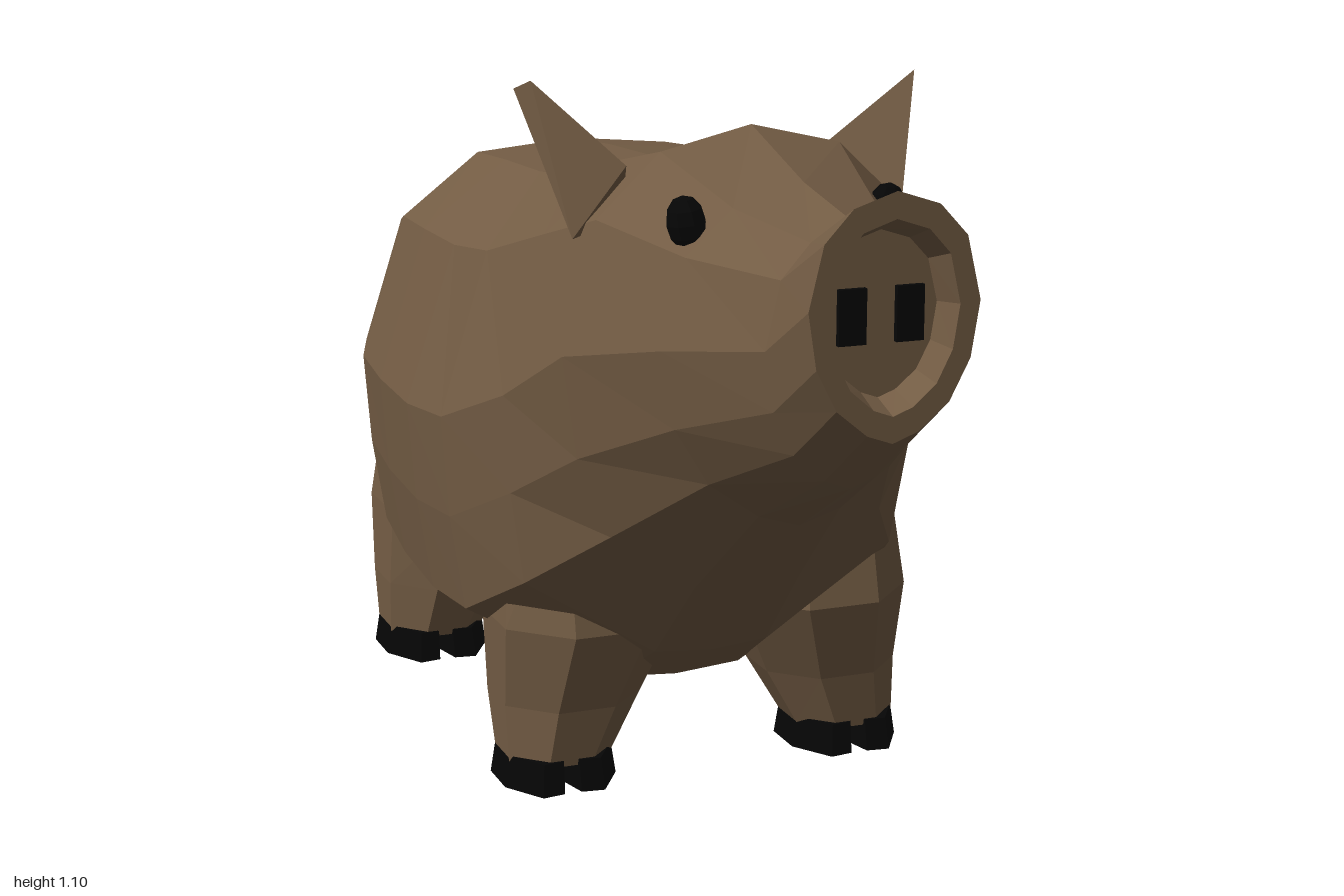
import * as THREE from 'three';
import { ConvexGeometry } from 'three/addons/geometries/ConvexGeometry.js';

const hide = new THREE.MeshStandardMaterial({ color: 0x735c44, flatShading: true });
const black = new THREE.MeshStandardMaterial({ color: 0x060606, flatShading: true });
const V = (x, y, z) => new THREE.Vector3(x, y, z);

// Skin a stack of equal-length rings (counter-clockwise about the stacking direction), with capped ends
function loft(rings) {
  const pos = [];
  const tri = (...p) => p.forEach((v) => pos.push(v.x, v.y, v.z));
  const n = rings[0].length;
  const mid = (r) => r.reduce((s, p) => s.add(p), V(0, 0, 0)).divideScalar(n);
  const first = rings[0], last = rings[rings.length - 1];
  const c0 = mid(first), c1 = mid(last);
  for (let j = 0; j < n; j++) {
    const k = (j + 1) % n;
    for (let i = 0; i < rings.length - 1; i++) {
      const a = rings[i], b = rings[i + 1];
      tri(a[j], a[k], b[k]);
      tri(a[j], b[k], b[j]);
    }
    tri(c0, first[k], first[j]);
    tri(c1, last[j], last[k]);
  }
  const g = new THREE.BufferGeometry();
  g.setAttribute('position', new THREE.Float32BufferAttribute(pos, 3));
  g.computeVertexNormals();
  return g;
}

function add(parent, name, geometry, material) {
  const m = new THREE.Mesh(geometry, material);
  m.name = name;
  parent.add(m);
  return m;
}

// Half cross-sections, top to bottom: [half-width fraction, height fraction]
const ROUND = [[0, 1], [0.5, 0.94], [0.83, 0.81], [1, 0.55], [0.9, 0.32], [0.66, 0.15], [0.3, 0.04], [0, 0]];
const BARREL = [[0, 1], [0.45, 0.98], [0.8, 0.85], [1, 0.55], [0.97, 0.36], [0.91, 0.18], [0.28, 0.01], [0, 0]];

// Body stations: z, centre x, half width, bottom y, top y, barrel amount
const STATIONS = [
  [-0.8, 0.025, 0.08, 0.5, 0.64, 0],
  [-0.765, 0.035, 0.19, 0.42, 0.715, 0.3],
  [-0.66, 0.03, 0.27, 0.27, 0.8, 1],
  [-0.53, 0.015, 0.338, 0.16, 0.855, 1],
  [-0.37, 0.005, 0.377, 0.12, 0.9, 1],
  [-0.18, 0.002, 0.397, 0.11, 0.915, 1],
  [0.02, -0.003, 0.404, 0.11, 0.925, 1],
  [0.18, -0.02, 0.38, 0.12, 0.945, 1],
  [0.36, -0.035, 0.325, 0.22, 0.99, 1],
  [0.52, -0.045, 0.28, 0.355, 1.04, 0.35],
  [0.7, -0.045, 0.205, 0.51, 0.985, 0],
  [0.88, -0.055, 0.123, 0.61, 0.96, 0],
  [1.0, -0.055, 0.118, 0.7, 1.02, 0],
  // snout rim and recessed disc
  [1.0, -0.055, 0.09, 0.735, 0.985, 0],
  [0.955, -0.055, 0.08, 0.75, 0.965, 0],
];

function bodyRing([z, cx, hw, y0, y1, k]) {
  const half = ROUND.map(([x, y], i) => [
    THREE.MathUtils.lerp(x, BARREL[i][0], k) * hw,
    y0 + THREE.MathUtils.lerp(y, BARREL[i][1], k) * (y1 - y0),
  ]);
  return [
    ...half.map(([x, y]) => V(cx - x, y, z)),
    ...half.slice(1, -1).reverse().map(([x, y]) => V(cx + x, y, z)),
  ];
}

// Leg stations, foot to hidden hip: y, |x|, z, half width, half depth
const LEGS = {
  front: [
    [0.04, 0.24, 0.22, 0.083, 0.082],
    [0.13, 0.217, 0.205, 0.11, 0.108],
    [0.26, 0.19, 0.215, 0.142, 0.14],
    [0.5, 0.2, 0.18, 0.11, 0.12],
  ],
  hind: [
    [0.04, 0.24, -0.45, 0.083, 0.092],
    [0.13, 0.215, -0.455, 0.11, 0.122],
    [0.26, 0.18, -0.465, 0.14, 0.168],
    [0.5, 0.18, -0.44, 0.11, 0.15],
  ],
};

function legRing([y, x, z, hx, hz], side) {
  return Array.from({ length: 8 }, (_, i) => {
    const a = ((i + 0.5) / 8) * Math.PI * 2;
    return V(side * x + (Math.cos(a) * hx) / 0.924, y, z - (Math.sin(a) * hz) / 0.924);
  });
}

// Cloven outline, notch facing forward
const HOOF = [[1, 0.35], [1, -0.4], [0.5, -1], [-0.5, -1], [-1, -0.4], [-1, 0.35], [-0.55, 1], [-0.15, 0.95], [0, 0.4], [0.15, 0.95], [0.55, 1]];

function hoof(x, z, hx, hz) {
  return loft([[0, 1], [0.05, 0.92]].map(([y, s]) => HOOF.map(([u, w]) => V(x + u * hx * s, y, z + w * hz * s))));
}

// Ears: three base corners, a root inside the head, and a blunt tip; each is cocked differently
const EARS = {
  left: [
    [0.105, 0.985, 0.42], [0.19, 0.92, 0.52], [0.215, 0.885, 0.36], [0.09, 0.9, 0.42],
    [0.225, 1.1, 0.48], [0.24, 1.085, 0.44],
  ],
  right: [
    [-0.215, 0.985, 0.48], [-0.3, 0.89, 0.495], [-0.235, 0.955, 0.32], [-0.2, 0.9, 0.42],
    [-0.33, 1.1, 0.41], [-0.342, 1.085, 0.37],
  ],
};

export function createModel() {
  const model = new THREE.Group();
  model.name = 'pig';
  add(model, 'body', loft(STATIONS.map(bodyRing)), hide);

  const headX = -0.055;
  for (const side of [-1, 1]) {
    const label = side > 0 ? 'left' : 'right';

    // Legs and hooves
    for (const [end, rows] of Object.entries(LEGS)) {
      const leg = new THREE.Group();
      leg.name = `${label} ${end} leg`;
      add(leg, 'leg', loft(rows.map((r) => legRing(r, side))), hide);
      add(leg, 'hoof', hoof(side * 0.24, rows[0][2], 0.09, rows[0][4] + 0.016), black);
      model.add(leg);
    }

    // Ear
    add(model, `${label} ear`, new ConvexGeometry(EARS[label].map((p) => V(...p))), hide);

    // Eye
    const eye = add(model, `${label} eye`, new THREE.SphereGeometry(1, 8, 6), black);
    eye.scale.set(0.028, 0.037, 0.03);
    eye.position.set(headX + side * 0.147, 0.936, 0.67);
    eye.rotation.z = -side * 0.15;

    // Nostril
    const nostril = add(model, `${label} nostril`, new THREE.BoxGeometry(0.038, 0.072, 0.012), black);
    nostril.position.set(headX + side * 0.04, 0.857, 0.957);
  }

  // Curly tail, tapering towards its tip
  const path = new THREE.CatmullRomCurve3([
    V(0.055, 0.59, -0.76), V(0.045, 0.605, -0.86), V(-0.01, 0.645, -0.92),
    V(-0.08, 0.63, -0.925), V(-0.075, 0.565, -0.955), V(-0.02, 0.545, -0.975), V(0.045, 0.555, -0.995),
  ]);
  const steps = 10, sides = 5;
  const tail = new THREE.TubeGeometry(path, steps, 1, sides);
  const p = tail.attributes.position;
  for (let i = 0; i < p.count; i++) {
    const t = Math.floor(i / (sides + 1)) / steps;
    const c = path.getPointAt(t);
    const r = t === 1 ? 0.004 : 0.015 + 0.03 * (1 - t) ** 2.5;
    const v = V(0, 0, 0).fromBufferAttribute(p, i).sub(c).multiplyScalar(r).add(c);
    p.setXYZ(i, v.x, v.y, v.z);
  }
  add(model, 'tail', tail, hide);
  return model;
}
